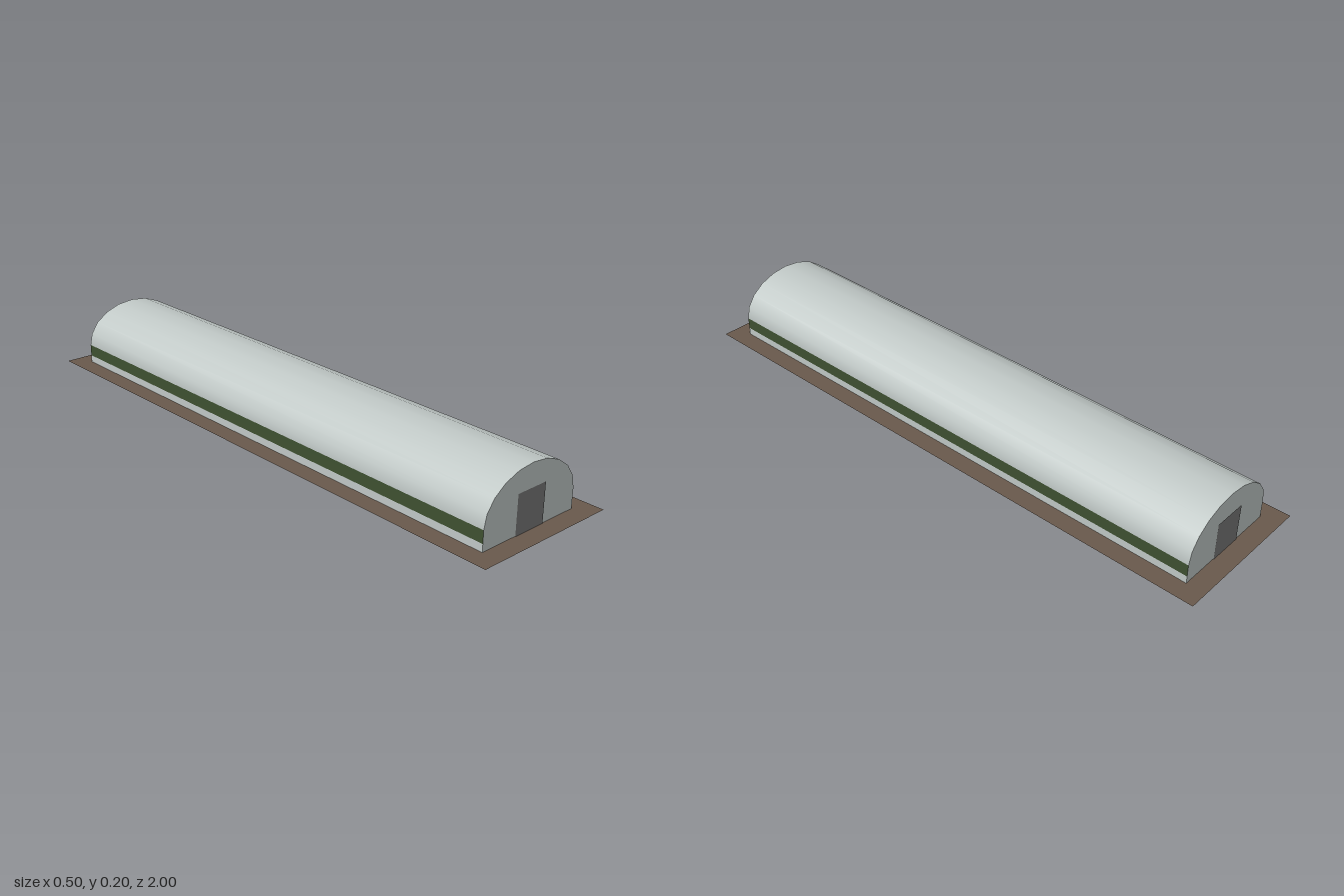
import * as THREE from 'three';

const HALF_W = 0.187, HALF_L = 0.937, SPRING = 0.065, RISE = 0.135, SEGMENTS = 10;

function material(name, color) {
  return new THREE.MeshStandardMaterial({ name, color, side: THREE.DoubleSide });
}

function part(name, geometry, mat, parent) {
  const mesh = new THREE.Mesh(geometry, mat);
  mesh.name = name;
  parent.add(mesh);
  return mesh;
}

function rectangle(path, w, l) {
  path.moveTo(-w, -l).lineTo(w, -l).lineTo(w, l).lineTo(-w, l).closePath();
  return path;
}

export function createModel() {
  const model = new THREE.Group();
  model.name = 'archedShelter';

  const shell = material('paleGrey', 0xc0c8c6);
  const green = material('darkGreen', 0x3e5031);
  const grey = material('doorGrey', 0x777777);
  const earth = material('earthBrown', 0x69594c);

  // Flat ground border, open in the middle
  const border = rectangle(new THREE.Shape(), 0.248, 1);
  border.holes.push(rectangle(new THREE.Path(), HALF_W, HALF_L));
  part('groundBorder', new THREE.ShapeGeometry(border).rotateX(-Math.PI / 2), earth, model);

  // Smooth hollow vault
  const vault = new THREE.CylinderGeometry(1, 1, 2 * HALF_L, SEGMENTS, 1, true, Math.PI / 2, Math.PI)
    .rotateX(Math.PI / 2)
    .scale(HALF_W, RISE, 1)
    .translate(0, SPRING, 0);
  part('vaultedRoof', vault, shell, model);

  // Upright side walls: pale base below a green band
  for (const [side, s] of [['left', 1], ['right', -1]]) {
    for (const [name, y0, y1, mat] of [['WallBase', 0, 0.025, shell], ['WallBand', 0.025, SPRING, green]]) {
      const strip = new THREE.PlaneGeometry(2 * HALF_L, y1 - y0)
        .rotateY(s * Math.PI / 2)
        .translate(s * HALF_W, (y0 + y1) / 2, 0);
      part(side + name, strip, mat, model);
    }
  }

  // End walls follow the vault's section, each with a door
  const section = new THREE.Shape();
  section.moveTo(-HALF_W, 0).lineTo(HALF_W, 0);
  for (let i = 0; i <= SEGMENTS; i++) {
    const a = (i / SEGMENTS) * Math.PI;
    section.lineTo(HALF_W * Math.cos(a), SPRING + RISE * Math.sin(a));
  }
  section.closePath();
  for (const [name, turn] of [['front', 0], ['back', Math.PI]]) {
    const end = new THREE.Group();
    end.name = name + 'End';
    end.rotation.y = turn;
    part(name + 'Wall', new THREE.ShapeGeometry(section).translate(0, 0, HALF_L), shell, end);
    part(name + 'Door', new THREE.PlaneGeometry(0.114, 0.126).translate(0, 0.063, HALF_L + 0.002), grey, end);
    model.add(end);
  }

  return model;
}
